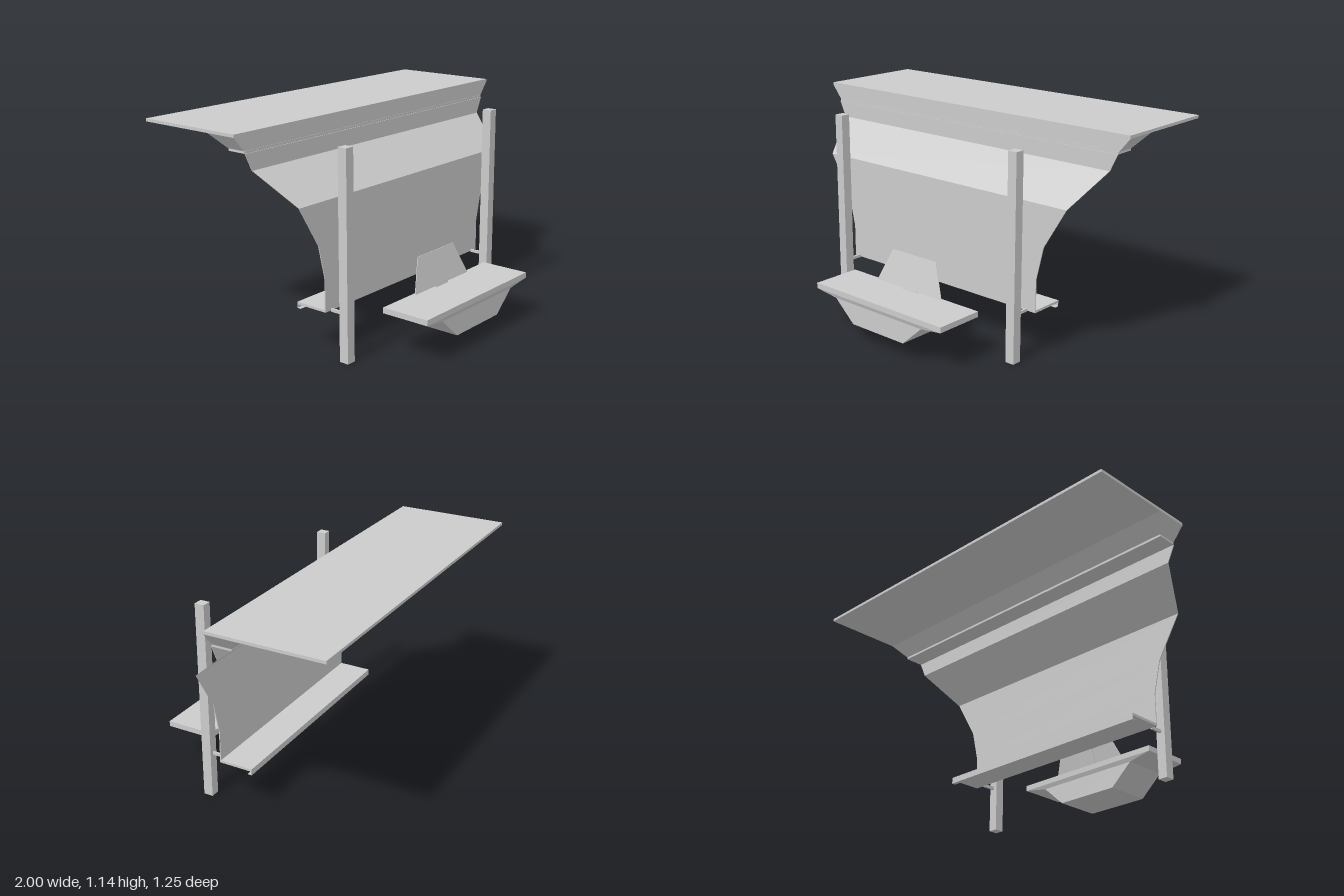
import * as THREE from 'three';

const material = new THREE.MeshStandardMaterial({ color: 0xcccccc, flatShading: true, side: THREE.DoubleSide });

// Closed solid through rectangular cross-sections, bottom to top: [y, halfWidth, zBack, zFront]
function loft(name, sections, x = 0) {
  const rings = sections.map(([y, w, zb, zf]) => [[x - w, y, zf], [x + w, y, zf], [x + w, y, zb], [x - w, y, zb]]);
  const positions = [];
  const quad = (a, b, c, d) => positions.push(...a, ...b, ...c, ...a, ...c, ...d);
  for (let i = 0; i + 1 < rings.length; i++) {
    const lo = rings[i], hi = rings[i + 1];
    for (let k = 0; k < 4; k++) {
      const n = (k + 1) % 4;
      quad(lo[k], lo[n], hi[n], hi[k]);
    }
  }
  quad(...rings[0].slice().reverse());
  quad(...rings[rings.length - 1]);
  const geometry = new THREE.BufferGeometry();
  geometry.setAttribute('position', new THREE.Float32BufferAttribute(positions, 3));
  geometry.computeVertexNormals();
  const mesh = new THREE.Mesh(geometry, material);
  mesh.name = name;
  return mesh;
}

const slab = (name, halfWidth, y0, y1, zb, zf, x = 0) =>
  loft(name, [[y0, halfWidth, zb, zf], [y1, halfWidth, zb, zf]], x);

export function createModel() {
  const model = new THREE.Group();
  model.name = 'shelterWithBench';

  // Roof and the tapered beam under its front edge
  model.add(slab('roof', 1, 1.122, 1.137, -0.625, -0.028));
  model.add(loft('roofBeam', [[1.052, 0.942, -0.13, -0.028], [1.122, 1, -0.2, -0.028]]));
  model.add(slab('beamLedge', 0.94, 1.04, 1.052, -0.13, -0.026));

  // Thin folded panel that widens towards the top
  const t = 0.005;
  const outline = [
    [0.24, 0.635, 0.17], [0.41, 0.635, 0.17], [0.58, 0.675, 0.17],
    [0.79, 0.802, 0.17], [0.955, 0.9, -0.022], [1.04, 0.94, -0.022],
  ];
  model.add(loft('foldedPanel', outline.map(([y, w, z]) => [y, w, z - t, z])));

  // Shelf behind the panel, with a hooked lip
  model.add(slab('lowerShelf', 0.635, 0.237, 0.25, -0.014, 0.17));
  model.add(slab('shelfLip', 0.635, 0.217, 0.237, -0.014, -0.011));
  model.add(slab('lipReturn', 0.635, 0.217, 0.22, -0.014, 0.008));

  // Posts and the brackets that reach back to the panel
  for (const x of [-0.597, 0.582]) {
    model.add(slab('post', 0.025, 0, 1.055, 0.246, 0.297, x));
    model.add(slab('postBracket', 0.006, 0.235, 0.25, 0.175, 0.246, x));
  }

  // Bench: top, tapered base, leaning back and its support
  const bench = new THREE.Group();
  bench.name = 'bench';
  bench.add(slab('benchTop', 0.435, 0.221, 0.25, 0.36, 0.625));
  bench.add(loft('benchBase', [
    [0.09, 0.177, 0.37, 0.617], [0.2, 0.3, 0.37, 0.617], [0.221, 0.435, 0.36, 0.625],
  ]));
  bench.add(loft('backrest', [[0.26, 0.225, 0.392, 0.395], [0.43, 0.15, 0.35, 0.353]]));
  bench.add(loft('backrestSupport', [[0.25, 0.052, 0.389, 0.393], [0.35, 0.052, 0.365, 0.369]], 0.004));
  model.add(bench);

  return model;
}
